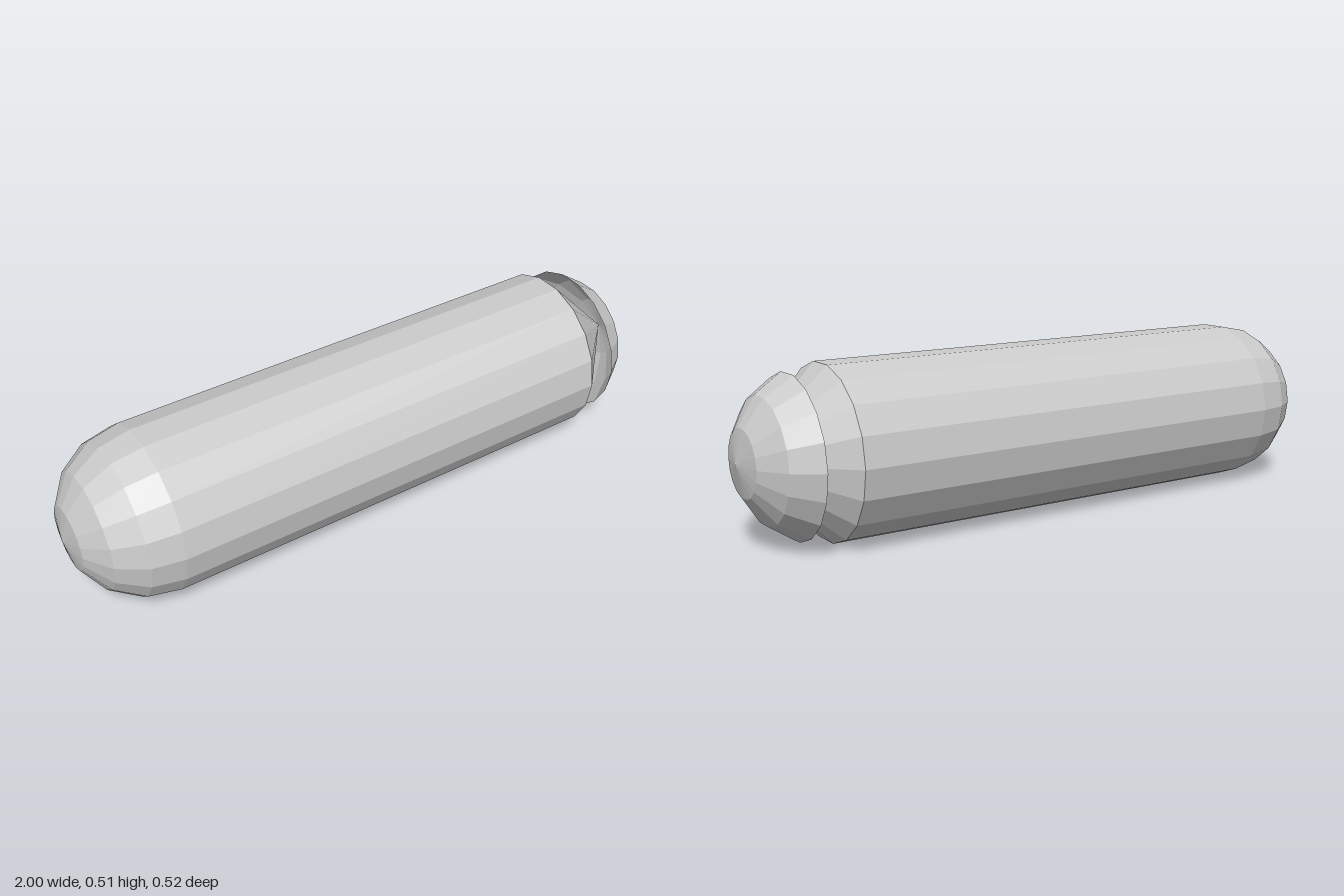
import * as THREE from 'three';

const SIDES = 18, RADIUS = 0.26, SHOULDER = 1 - RADIUS;

// Point on the rounded end: step 0 is the shoulder, step 4 the pole
const capPoint = (step) => {
  const a = step * Math.PI / 8;
  return new THREE.Vector2(step === 4 ? 0 : RADIUS * Math.cos(a), SHOULDER + RADIUS * Math.sin(a));
};

export function createModel() {
  const group = new THREE.Group();
  group.name = 'capsule';
  const material = new THREE.MeshStandardMaterial({
    color: 0xcccccc, flatShading: true, side: THREE.DoubleSide,
  });

  // Turn a profile (radius, position along x) around the long axis
  const turned = (name, profile) => {
    const geometry = new THREE.LatheGeometry(profile, SIDES);
    geometry.rotateZ(-Math.PI / 2);
    const mesh = new THREE.Mesh(geometry, material);
    mesh.name = name;
    mesh.position.y = RADIUS * Math.cos(Math.PI / SIDES); // rests on a flat side
    group.add(mesh);
  };

  // Rounded far end and straight barrel
  const farEnd = [4, 3, 2, 1, 0].map(capPoint).map((p) => new THREE.Vector2(p.x, -p.y));
  turned('barrel', [...farEnd, capPoint(0)]);

  // Cone running from the barrel's rim to the tip, inside the cap
  turned('innerCone', [capPoint(0), capPoint(4)]);

  // Open, hollow cap with a gap between it and the barrel
  turned('endCap', [1, 2, 3, 4].map(capPoint));

  return group;
}
